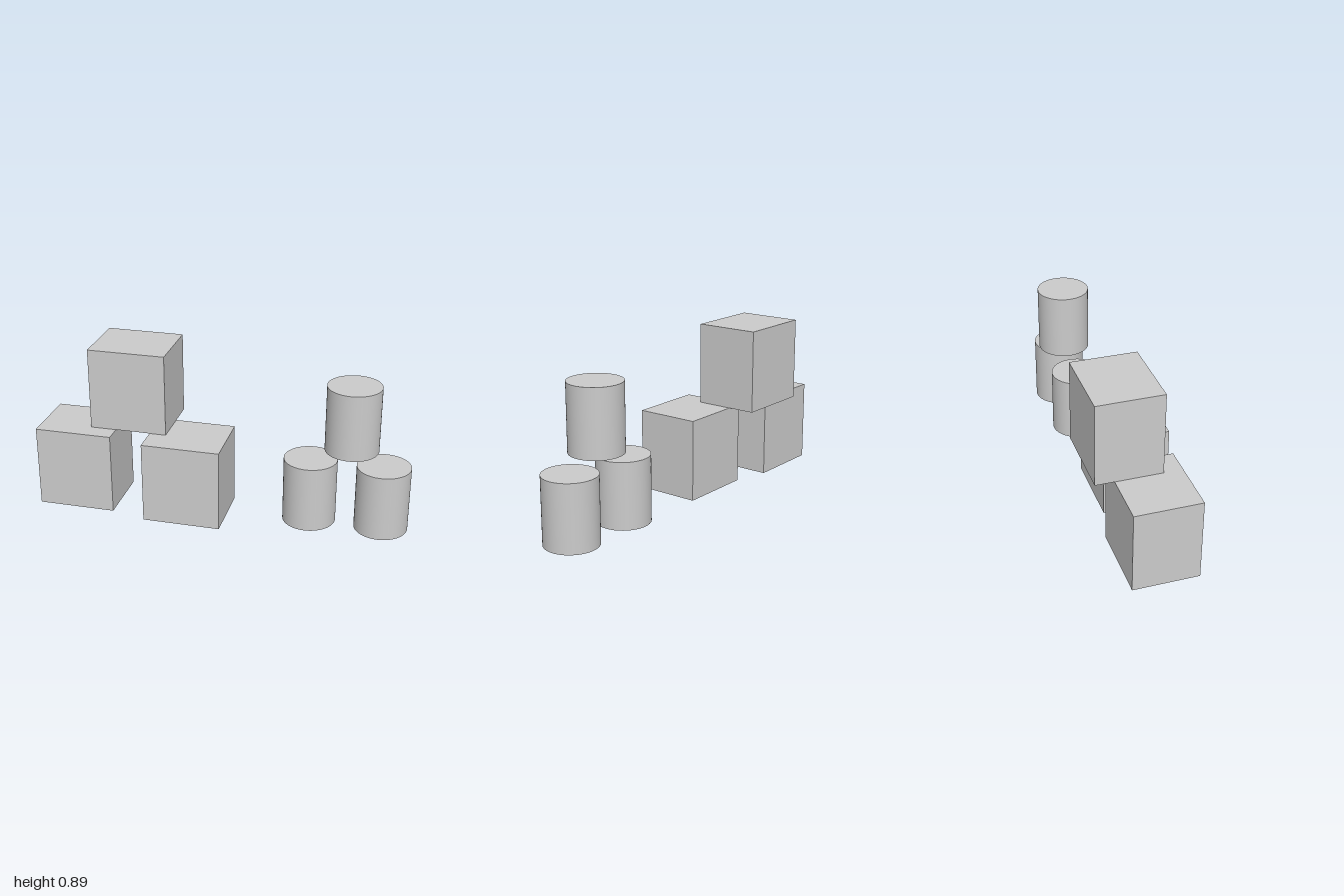
import * as THREE from 'three';

export function createModel() {
  const model = new THREE.Group();
  const material = new THREE.MeshStandardMaterial({ color: 0xcccccc });

  // Places a part by the centre of its base
  const addPart = (parent, name, geometry, height, [x, y, z]) => {
    const mesh = new THREE.Mesh(geometry, material);
    mesh.name = name;
    mesh.position.set(x, y + height / 2, z);
    parent.add(mesh);
  };

  // Stack of three boxes
  const boxes = new THREE.Group();
  boxes.name = 'boxStack';
  const boxHeight = 0.445;
  const boxGeometry = new THREE.BoxGeometry(0.42, boxHeight, 0.35);
  addPart(boxes, 'lowerRightBox', boxGeometry, boxHeight, [-0.79, 0, 0.025]);
  addPart(boxes, 'lowerLeftBox', boxGeometry, boxHeight, [-0.18, 0, 0.075]);
  addPart(boxes, 'upperBox', boxGeometry, boxHeight, [-0.51, boxHeight, -0.075]);

  // Group of three cans, the upper one raised above the other two
  const cans = new THREE.Group();
  cans.name = 'canStack';
  const canHeight = 0.36;
  const canGeometry = new THREE.CylinderGeometry(0.1425, 0.1425, canHeight, 64);
  addPart(cans, 'lowerRightCan', canGeometry, canHeight, [0.47, 0, 0.008]);
  addPart(cans, 'lowerLeftCan', canGeometry, canHeight, [0.8575, 0, 0.008]);
  addPart(cans, 'upperCan', canGeometry, canHeight, [0.682, 0.428, -0.008]);

  model.add(boxes, cans);
  return model;
}
